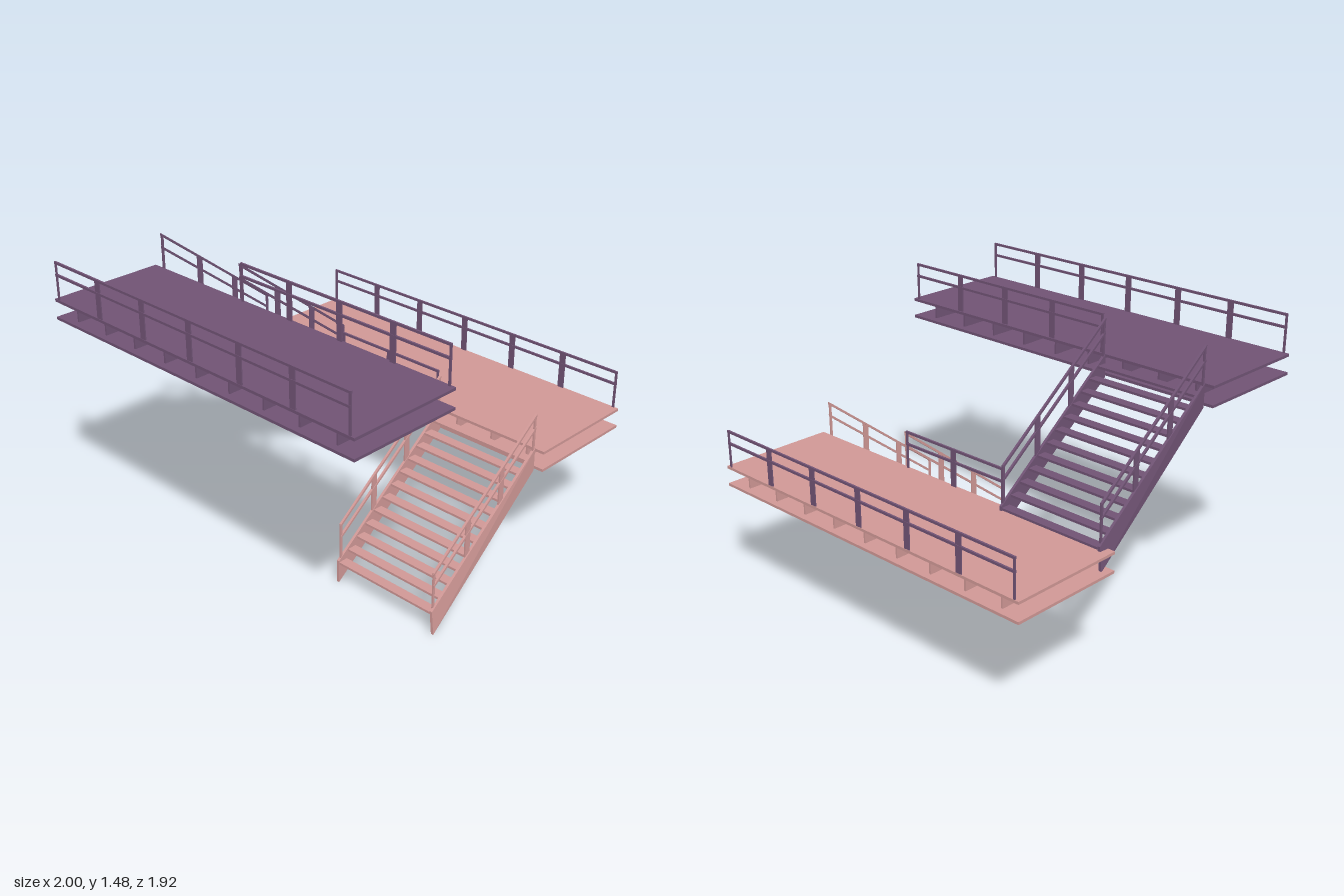
import * as THREE from 'three';

const pink = new THREE.MeshStandardMaterial({ color: 0xd09896 });
const purple = new THREE.MeshStandardMaterial({ color: 0x705374 });

function box(parent, name, mat, x0, x1, y0, y1, z0, z1) {
  const mesh = new THREE.Mesh(new THREE.BoxGeometry(x1 - x0, y1 - y0, z1 - z0), mat);
  mesh.position.set((x0 + x1) / 2, (y0 + y1) / 2, (z0 + z1) / 2);
  mesh.name = name;
  parent.add(mesh);
  return mesh;
}

// Side profile given as [z, y] points, extruded along x from x0 by width w
function plate(parent, name, mat, points, x0, w) {
  const shape = new THREE.Shape(points.map(([z, y]) => new THREE.Vector2(-z, y)));
  const geo = new THREE.ExtrudeGeometry(shape, { depth: w, bevelEnabled: false });
  geo.rotateY(Math.PI / 2).translate(x0, 0, 0);
  const mesh = new THREE.Mesh(geo, mat);
  mesh.name = name;
  parent.add(mesh);
  return mesh;
}

// Straight guard rail: two rails, wide inner posts, slim end posts
function guardRail(parent, name, x0, x1, segments, z) {
  const g = new THREE.Group();
  g.name = name;
  for (let i = 0; i <= segments; i++) {
    const x = x0 + ((x1 - x0) * i) / segments;
    const half = i === 0 || i === segments ? 0.006 : 0.017;
    box(g, 'railPost', purple, x - half, x + half, 0.685, 0.88, z - 0.003, z + 0.003);
  }
  for (const y of [0.818, 0.882]) {
    box(g, 'rail', purple, x0 - 0.006, x1 + 0.006, y - 0.006, y + 0.006, z - 0.005, z + 0.005);
  }
  parent.add(g);
}

// Two decks with cross joists between them
function landing(parent, mat) {
  const g = new THREE.Group();
  g.name = 'landing';
  box(g, 'topDeck', mat, -1, 1, 0.675, 0.689, -0.96, -0.34);
  box(g, 'bottomDeck', mat, -1, 1, 0.58, 0.594, -0.96, -0.34);
  for (let i = -4; i <= 4; i++) {
    box(g, 'joist', mat, i * 0.218 - 0.005, i * 0.218 + 0.005, 0.594, 0.675, -0.925, -0.38);
  }
  parent.add(g);
}

function flight(parent, mat) {
  const g = new THREE.Group();
  g.name = 'stairFlight';
  const profile = [[0.39, 0], [-0.34, 0.57], [-0.34, 0.688], [0.39, 0.122]];
  plate(g, 'innerStringer', mat, profile, 0.345, 0.014);
  const outer = plate(g, 'outerStringer', mat, profile, 0.935, 0.014);

  // The outer stringer splays slightly at its foot
  const p = outer.geometry.attributes.position;
  for (let i = 0; i < p.count; i++) {
    if (p.getZ(i) > 0.38) p.setX(i, p.getX(i) + (p.getY(i) < 0.05 ? 0.018 : 0.006));
  }
  outer.geometry.computeVertexNormals();

  // Open treads
  for (let i = 0; i < 12; i++) {
    const z = 0.362 - i * 0.061, y = 0.109 + i * 0.048;
    box(g, 'tread', mat, 0.358, 0.938, y - 0.006, y + 0.006, z - 0.026, z + 0.026);
  }

  // Sloping handrails on both sides
  const topAt = z => 0.325 + ((0.375 - z) * 0.545) / 0.71;
  const rail = drop => [[0.375, topAt(0.375) - drop - 0.014], [-0.34, topAt(-0.34) - drop - 0.014],
    [-0.34, topAt(-0.34) - drop], [0.375, topAt(0.375) - drop]];
  for (const x of [0.352, 0.942]) {
    const h = new THREE.Group();
    h.name = 'handrail';
    plate(h, 'topRail', mat, rail(0), x - 0.006, 0.012);
    plate(h, 'midRail', mat, rail(0.068), x - 0.006, 0.012);
    for (const [z, half] of [[0.37, 0.006], [0.138, 0.016], [-0.097, 0.016], [-0.333, 0.006]]) {
      const a = z + half, b = z - half;
      plate(h, 'handrailPost', mat, [[a, topAt(a) - 0.205], [b, topAt(b) - 0.205],
        [b, topAt(b) - 0.005], [a, topAt(a) - 0.005]], x - 0.004, 0.008);
    }
    g.add(h);
  }
  parent.add(g);
}

// One storey: landing, flight up to it, and guard rails
function storey(name, mat, innerStart, innerSegments) {
  const g = new THREE.Group();
  g.name = name;
  landing(g, mat);
  flight(g, mat);
  guardRail(g, 'outerGuardRail', -0.972, 0.972, 6, -0.955);
  guardRail(g, 'innerGuardRail', innerStart, 0.325, innerSegments, -0.35);
  return g;
}

export function createModel() {
  const model = new THREE.Group();
  model.name = 'staircase';
  model.add(storey('lowerStorey', pink, -0.325, 2));

  // The upper storey is the lower one turned half way round
  const upper = storey('upperStorey', purple, -0.972, 4);
  upper.rotation.y = Math.PI;
  upper.position.y = 0.59;
  model.add(upper);
  return model;
}
